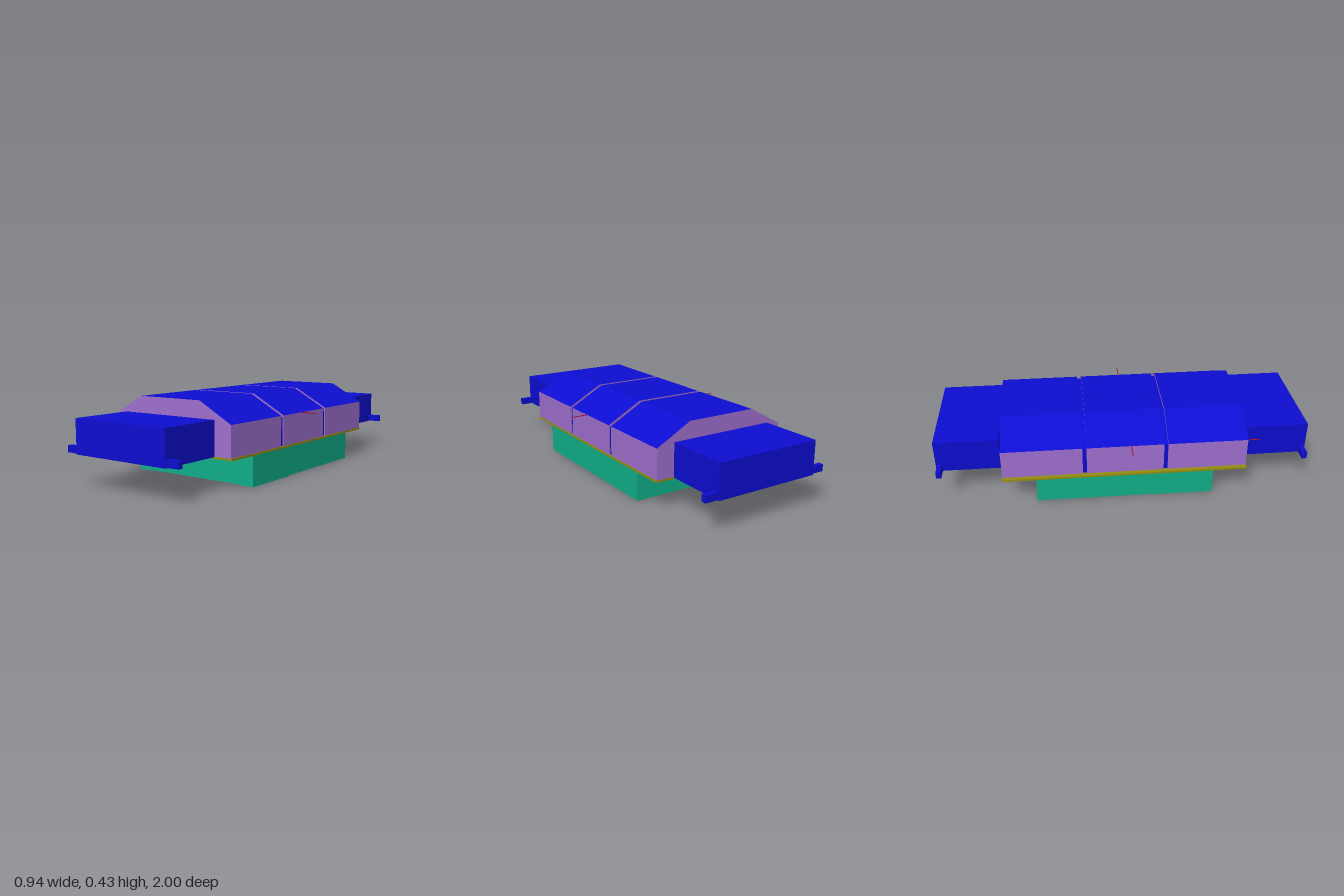
import * as THREE from 'three';

const paint = (color) => new THREE.MeshStandardMaterial({ color, flatShading: true });

export function createModel() {
  const model = new THREE.Group();
  const blue = paint(0x0d0dd2), purple = paint(0xa070d0), teal = paint(0x10b08a);
  const olive = paint(0x958e12), red = paint(0xb01020);

  function add(name, geometry, material, parent = model) {
    const mesh = new THREE.Mesh(geometry, material);
    mesh.name = name;
    parent.add(mesh);
    return mesh;
  }
  // Box given by its limits on each axis
  function box(name, [x0, x1], [y0, y1], [z0, z1], material, parent) {
    const mesh = add(name, new THREE.BoxGeometry(x1 - x0, y1 - y0, z1 - z0), material, parent);
    mesh.position.set((x0 + x1) / 2, (y0 + y1) / 2, (z0 + z1) / 2);
    return mesh;
  }
  // Cross-section in x, y drawn out from z0 to z1
  function prism(name, points, z0, z1, material) {
    const shape = new THREE.Shape(points.map(([x, y]) => new THREE.Vector2(x, y)));
    const geometry = new THREE.ExtrudeGeometry(shape, { depth: z1 - z0, bevelEnabled: false });
    return add(name, geometry.translate(0, 0, z0), material);
  }

  // Lower tub with slightly deeper blocks along its front corners
  box('tub', [-0.383, 0.383], [0.003, 0.157], [-0.475, 0.474], teal);
  for (const s of [-1, 1]) {
    const block = box('tubCornerBlock', [-0.047, 0.047], [0, 0.156], [0.15, 0.476], teal);
    block.position.x = s * 0.337;
  }

  // Floor plate
  box('floorPlate', [-0.405, 0.387], [0.157, 0.168], [-0.65, 0.65], olive);

  // Three body sections: purple walls and gables under a blue roof
  const roof = [[-0.383, 0.328], [0.383, 0.328], [0.193, 0.432], [-0.193, 0.432]];
  for (const [z0, z1] of [[-0.65, -0.226], [-0.204, 0.204], [0.226, 0.65]]) {
    box('bodyWalls', [-0.383, 0.383], [0.168, 0.328], [z0, z1], purple);
    prism('roof', roof, z0, z1, [purple, blue]);
  }

  // Recessed blue joints between the sections
  const joint = [[-0.376, 0.168], [0.376, 0.168], [0.376, 0.318], [0.188, 0.415], [-0.188, 0.415], [-0.376, 0.318]];
  for (const z of [-0.215, 0.215]) prism('sectionJoint', joint, z - 0.012, z + 0.012, blue);

  // End boxes with side arms and hinge plates, mirrored front to back
  for (const s of [1, -1]) {
    const end = new THREE.Group();
    end.name = s > 0 ? 'frontEnd' : 'backEnd';
    box('endBox', [-0.291, 0.291], [0.168, 0.346], [0.66, 1], blue, end);
    box('crossArm', [-0.361, 0.361], [0.171, 0.207], [0.967, 0.994], blue, end);
    box('hingePlate', [-0.19, -0.1], [0.17, 0.26], [0.645, 0.665], blue, end);
    box('hingePlate', [0.1, 0.19], [0.17, 0.26], [0.645, 0.665], blue, end);
    if (s < 0) end.rotation.y = Math.PI;
    model.add(end);
  }

  // Round roof hatches
  for (const z of [-0.16, 0.11]) {
    const hatch = add('roofHatch', new THREE.CylinderGeometry(0.026, 0.026, 0.004, 24), blue);
    hatch.position.set(0, 0.432, z);
  }

  // Thin rods: one out of each side and one out of the front
  for (const s of [-1, 1]) {
    const rod = add('sideRod', new THREE.CylinderGeometry(0.0025, 0.0025, 0.09, 8), red);
    rod.rotation.z = Math.PI / 2;
    rod.position.set(s * 0.427, 0.328, 0.03);
  }
  const frontRod = add('frontRod', new THREE.CylinderGeometry(0.0025, 0.0025, 0.07, 8), red);
  frontRod.rotation.x = Math.PI / 2;
  frontRod.position.set(-0.378, 0.325, 0.675);

  return model;
}
